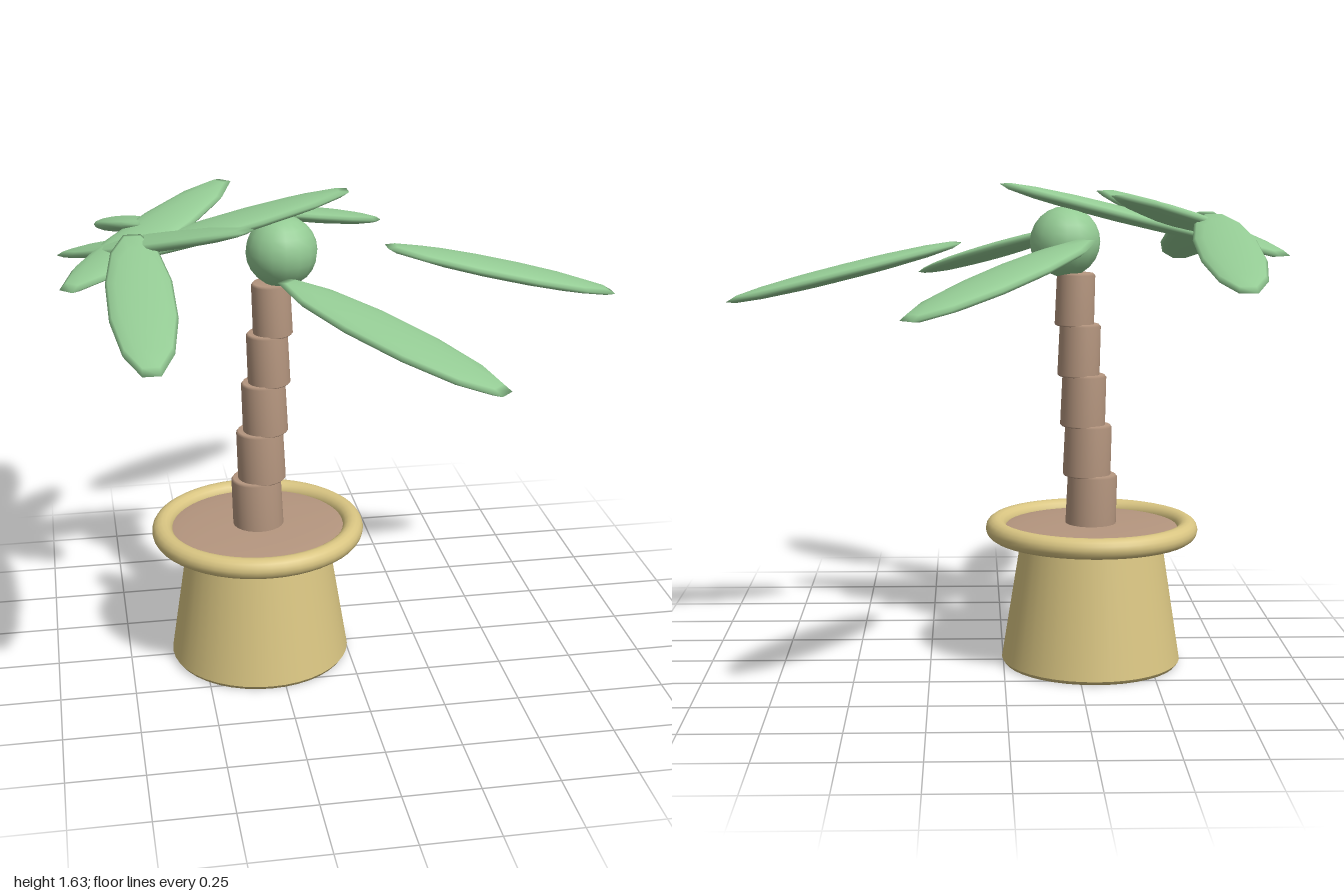
import * as THREE from 'three';

export function createModel() {
  const model = new THREE.Group();
  const material = (name, color) => {
    const m = new THREE.MeshStandardMaterial({ color });
    m.name = name;
    return m;
  };
  const clay = material('clay', 0xd9c582);
  const bark = material('bark', 0xb5967f);
  const green = material('leaf green', 0x94cb94);

  const add = (name, geometry, mat, x, y, z = 0) => {
    const mesh = new THREE.Mesh(geometry, mat);
    mesh.name = name;
    mesh.position.set(x, y, z);
    model.add(mesh);
    return mesh;
  };

  const potX = -0.3;

  // Pot: wide at the foot, narrow at the neck, built as separate smooth surfaces
  const wall = [[0.305, 0.012], [0.234, 0.465]].map(([r, y]) => new THREE.Vector2(r, y));
  add('potWall', new THREE.LatheGeometry(wall, 40), clay, potX, 0);
  const foot = [[0, 0], [0.297, 0], [0.305, 0.012]].map(([r, y]) => new THREE.Vector2(r, y));
  add('potFoot', new THREE.LatheGeometry(foot, 40), clay, potX, 0);

  // Round rim
  const rim = new THREE.TorusGeometry(0.325, 0.035, 16, 48).rotateX(Math.PI / 2);
  add('potRim', rim, clay, potX, 0.465);

  // Shallow mound of soil
  const soil = new THREE.SphereGeometry(0.315, 40, 16).scale(1, 0.06, 1);
  add('soil', soil, bark, potX, 0.465);

  // Trunk: five stacked rings, stepping sideways and getting thinner
  for (let i = 0; i < 5; i++) {
    const r = 0.085 - i * 0.005;
    const profile = [
      [0, -0.09], [r - 0.004, -0.09], [r + 0.001, -0.085],
      [r - 0.001, 0.08], [r - 0.008, 0.088], [0, 0.088],
    ].map(([px, py]) => new THREE.Vector2(px, py));
    const ring = add('trunkRing', new THREE.LatheGeometry(profile, 24), bark, potX + i * 0.015, 0.565 + i * 0.17);
    ring.rotation.z = 0.03;
  }

  // Crown bud
  add('crownBud', new THREE.SphereGeometry(0.117, 16, 12), green, -0.205, 1.435);

  // Leaves: flattened twelve-sided ellipsoids with blunt tips
  const leafGeometry = new THREE.SphereGeometry(1, 12, 8)
    .rotateY(Math.PI / 12)
    .scale(0.416, 0.027, 0.104);
  const addLeaf = (degrees, x, y, z) => {
    const leaf = add('leaf', leafGeometry, green, x, y, z);
    leaf.rotation.set(0, -THREE.MathUtils.degToRad(degrees), -0.245, 'YXZ');
  };
  addLeaf(0, 0.53, 1.335, 0);
  addLeaf(180, -0.378, 1.528, 0);
  // Heading, then centre of each mirrored pair
  const pairs = [
    [45, 0.015, 1.365, 0.7],
    [90, -0.685, 1.43, 0.45],
    [135, -0.625, 1.497, -0.06],
  ];
  for (const [degrees, x, y, z] of pairs) {
    for (const side of [1, -1]) addLeaf(side * degrees, x, y, side * z);
  }

  return model;
}
